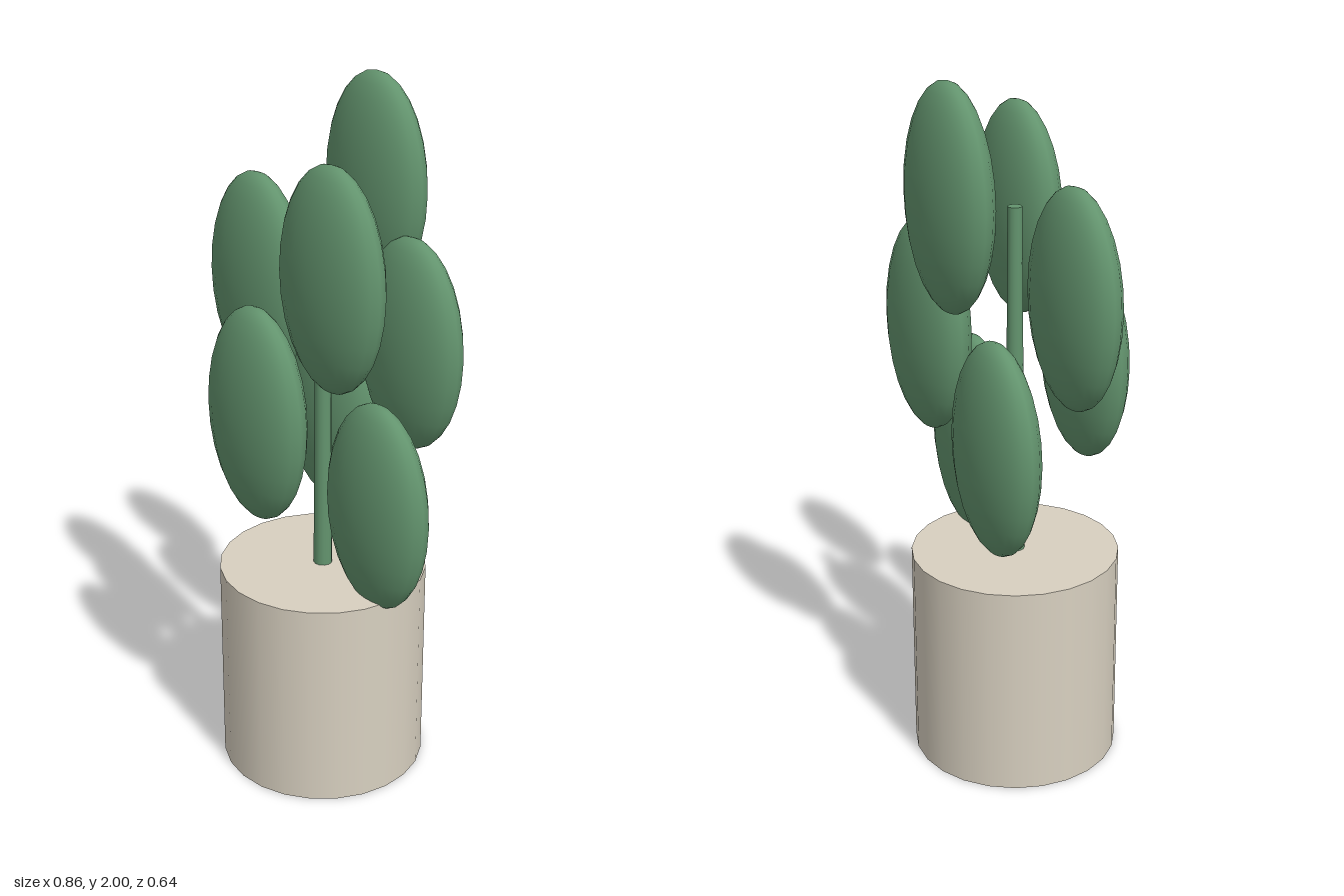
import * as THREE from 'three';

export function createModel() {
  const group = new THREE.Group();
  const potMaterial = new THREE.MeshStandardMaterial({ color: 0xd8d0c0 });
  potMaterial.name = 'cream';
  const leafMaterial = new THREE.MeshStandardMaterial({ color: 0x63946e });
  leafMaterial.name = 'leaf green';

  const plant = new THREE.Group();
  plant.name = 'pottedPlant';
  plant.position.set(-0.005, 0, -0.003);
  group.add(plant);

  const add = (name, geometry, material, x, y, z) => {
    const mesh = new THREE.Mesh(geometry, material);
    mesh.name = name;
    mesh.position.set(x, y, z);
    plant.add(mesh);
  };

  // Straight, closed pot
  const potHeight = 0.62;
  add('pot', new THREE.CylinderGeometry(0.297, 0.297, potHeight, 24), potMaterial, 0, potHeight / 2, 0);

  // Slightly tapered stem
  const stemTop = 1.63;
  const stemHeight = stemTop - potHeight;
  add('stem', new THREE.CylinderGeometry(0.02, 0.027, stemHeight, 12), leafMaterial, 0, potHeight + stemHeight / 2, 0);

  // Flattened oval pads climbing in a golden-angle spiral
  const pad = new THREE.SphereGeometry(1, 20, 14).scale(0.194, 0.305, 0.085);
  const goldenAngle = THREE.MathUtils.degToRad(137.5);
  for (let i = 0; i < 7; i++) {
    const a = i * goldenAngle;
    add(`leaf${i + 1}`, pad, leafMaterial, 0.24 * Math.cos(a), 0.89 + 0.1342 * i, -0.24 * Math.sin(a));
  }

  return group;
}
